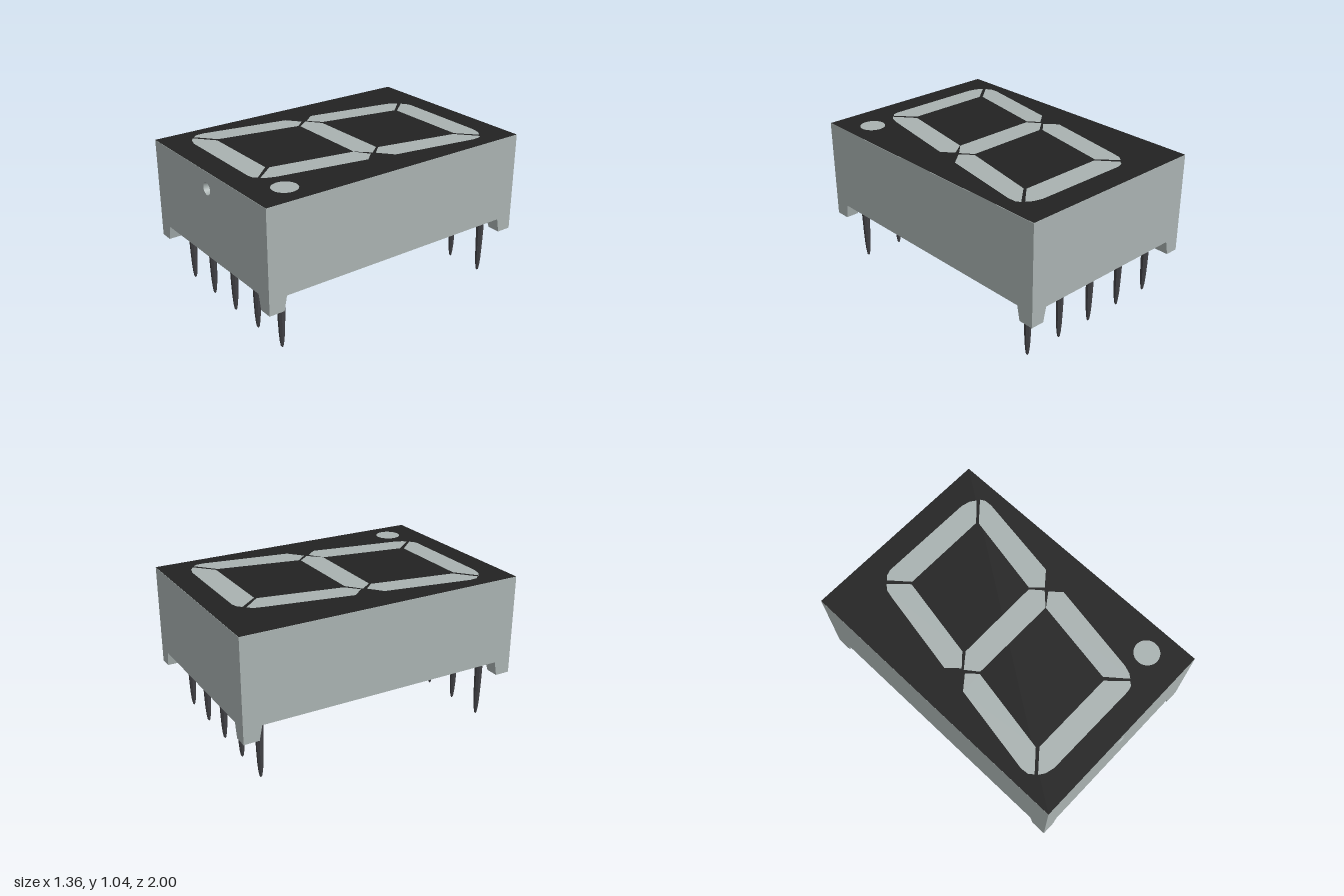
import * as THREE from 'three';

const W = 0.68, TOP = 1.035, BASE = 0.44, FOOT = 0.34;

export function createModel() {
  const group = new THREE.Group();
  const mat = (name, color) => {
    const m = new THREE.MeshStandardMaterial({ color });
    m.name = name;
    return m;
  };
  const grey = mat('pale grey plastic', 0xa9b2b1);
  const black = mat('black face', 0x222222);
  const metal = mat('dark pin metal', 0x414145);
  metal.flatShading = true;
  const add = (name, geometry, material, x = 0, y = 0, z = 0) => {
    const mesh = new THREE.Mesh(geometry, material);
    mesh.name = name;
    mesh.position.set(x, y, z);
    group.add(mesh);
    return mesh;
  };

  // Housing block, with a front wall that carries a small round dimple
  const wall = 0.04, holeY = 0.92, holeR = 0.042;
  add('housing', new THREE.BoxGeometry(2 * W, TOP - BASE, 2 - wall), grey, 0, (TOP + BASE) / 2, -wall / 2);
  const front = new THREE.Shape([[-W, BASE], [W, BASE], [W, TOP], [-W, TOP]].map(p => new THREE.Vector2(...p)));
  front.holes.push(new THREE.Path().absarc(0, holeY, holeR, 0, Math.PI * 2, true));
  add('frontWall', new THREE.ExtrudeGeometry(front, { depth: wall, bevelEnabled: false, curveSegments: 24 }), grey, 0, 0, 1 - wall);
  const dimple = new THREE.CylinderGeometry(holeR, 0.034, wall, 24, 1, true).rotateX(Math.PI / 2);
  dimple.scale(-1, 1, 1); // turns the cone wall inward
  add('dimple', dimple, grey, 0, holeY, 1 - wall / 2);

  // Corner feet, tapered on their inner sides
  const fx = 0.115, fz = 0.125, fh = BASE - FOOT;
  for (const sx of [-1, 1]) for (const sz of [-1, 1]) {
    const g = new THREE.BoxGeometry(fx, fh, fz);
    const p = g.attributes.position;
    for (let i = 0; i < p.count; i++) {
      if (p.getY(i) > 0) continue;
      if (p.getX(i) * sx < 0) p.setX(i, p.getX(i) + sx * 0.022);
      if (p.getZ(i) * sz < 0) p.setZ(i, p.getZ(i) + sz * 0.02);
    }
    g.computeVertexNormals();
    add('foot', g, grey, sx * (W - fx / 2), FOOT + fh / 2, sz * (1 - fz / 2));
  }

  // Two rows of pointed pins
  const profile = [[0, 0], [0.009, 0.012], [0.015, 0.05], [0.02, 0.11], [0.024, 0.21], [0.027, 0.33], [0.027, BASE]]
    .map(p => new THREE.Vector2(...p));
  const pin = new THREE.LatheGeometry(profile, 8, Math.PI / 8);
  for (const z of [-0.84, 0.84])
    for (let i = -2; i <= 2; i++) add('pin', pin, metal, i * 0.278, 0, z);

  // Black face over the whole top
  add('face', new THREE.PlaneGeometry(2 * W, 2).rotateX(-Math.PI / 2), black, 0, TOP + 0.002, 0);

  // Seven slanted segments, outlined as x, z
  const segments = {
    segmentTop: [[-0.285, -0.795], [-0.265, -0.82], [-0.22, -0.835], [0.44, -0.83], [0.5, -0.815], [0.54, -0.787], [0.415, -0.67], [-0.18, -0.67]],
    segmentUpperRight: [[0.56, -0.775], [0.578, -0.745], [0.58, -0.69], [0.485, -0.1], [0.385, -0.018], [0.315, -0.095], [0.425, -0.655]],
    segmentUpperLeft: [[-0.305, -0.78], [-0.195, -0.66], [-0.298, -0.095], [-0.382, -0.018], [-0.455, -0.1], [-0.35, -0.68], [-0.335, -0.745]],
    segmentMiddle: [[-0.38, -0.002], [-0.283, -0.08], [0.305, -0.085], [0.37, -0.005], [0.285, 0.082], [-0.318, 0.082]],
    segmentLowerLeft: [[-0.392, 0.02], [-0.33, 0.09], [-0.432, 0.665], [-0.56, 0.775], [-0.585, 0.745], [-0.59, 0.69], [-0.485, 0.095]],
    segmentLowerRight: [[0.38, 0.018], [0.447, 0.09], [0.34, 0.71], [0.32, 0.765], [0.297, 0.793], [0.188, 0.66], [0.285, 0.085]],
    segmentBottom: [[-0.415, 0.68], [0.172, 0.68], [0.284, 0.803], [0.265, 0.828], [0.225, 0.837], [-0.45, 0.834], [-0.51, 0.818], [-0.548, 0.792]],
  };
  const plate = (name, shape) =>
    add(name, new THREE.ShapeGeometry(shape, 32).rotateX(-Math.PI / 2), grey, 0, TOP + 0.006, 0);
  for (const [name, outline] of Object.entries(segments))
    plate(name, new THREE.Shape(outline.map(([x, z]) => new THREE.Vector2(x, -z))));

  // Decimal point
  plate('decimalPoint', new THREE.Shape().absarc(0.5, -0.755, 0.085, 0, Math.PI * 2));

  return group;
}
